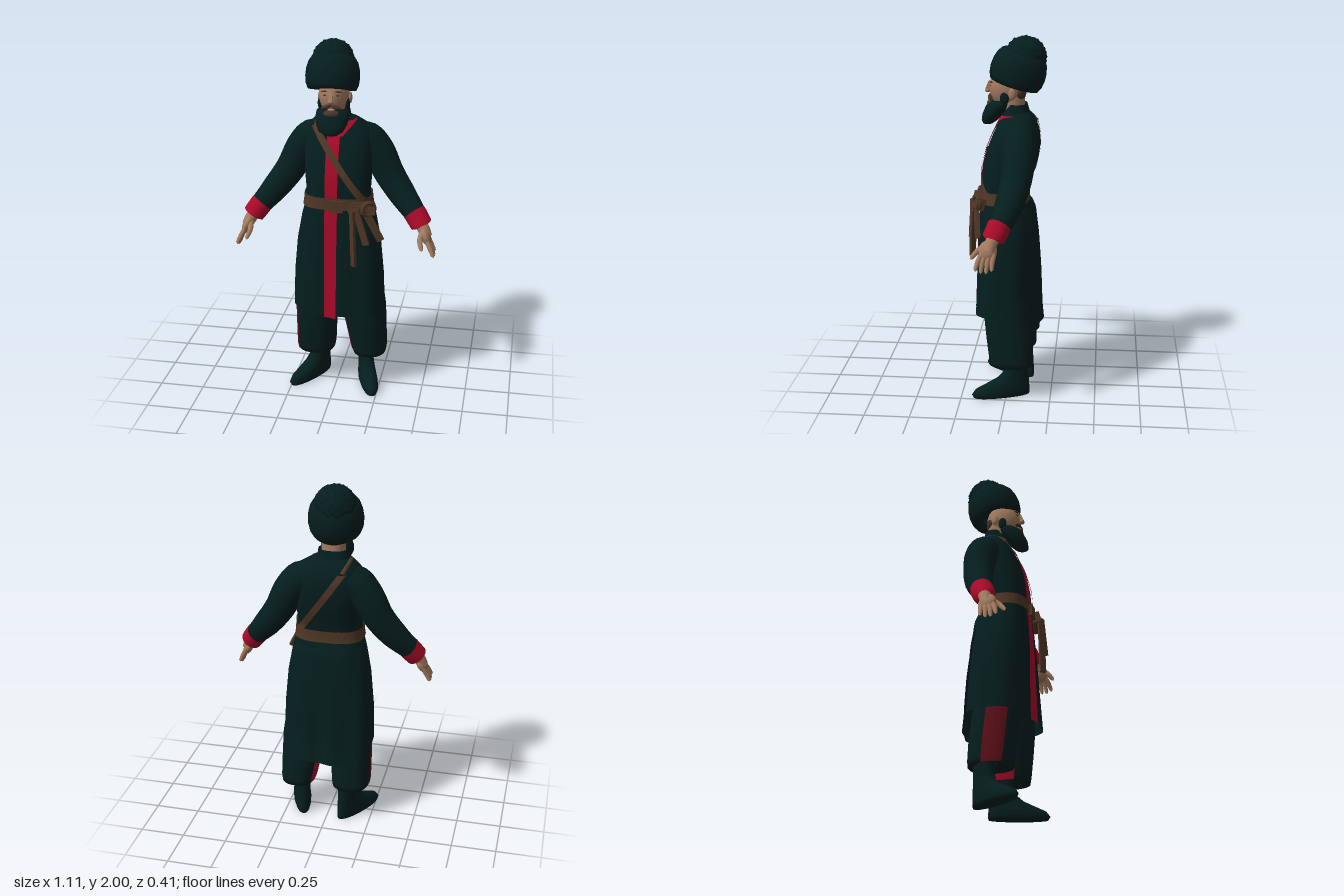
import * as THREE from 'three';
import { mergeVertices } from 'three/addons/utils/BufferGeometryUtils.js';

const paint = (name, color) => {
  const m = new THREE.MeshStandardMaterial({ color, side: THREE.DoubleSide });
  m.name = name;
  return m;
};

// Smooth surface over a grid of points, welded at seams
function grid(nu, nv, fn) {
  const pos = [], idx = [];
  for (let i = 0; i <= nv; i++) for (let j = 0; j <= nu; j++) pos.push(...fn(j / nu, i / nv, i));
  for (let i = 0; i < nv; i++) for (let j = 0; j < nu; j++) {
    const a = i * (nu + 1) + j, b = a + 1, d = a + nu + 1, c = d + 1;
    idx.push(a, b, c, a, c, d);
  }
  let g = new THREE.BufferGeometry();
  g.setAttribute('position', new THREE.Float32BufferAttribute(pos, 3));
  g.setIndex(idx);
  g = mergeVertices(g, 1e-5);
  g.computeVertexNormals();
  return g;
}

// Loft of superellipse rings; row = [y, centreX, halfWidth, zFront, zBack]
const noWarp = () => 0;
function loft(rows, { e = 2.2, off = 0, a0 = -Math.PI, a1 = Math.PI, n = 48, warp = noWarp } = {}) {
  const pw = v => Math.sign(v) * Math.abs(v) ** (2 / e);
  return grid(n, rows.length - 1, (u, v, i) => {
    const [y, cx, hw, zf, zb] = rows[i], a = a0 + (a1 - a0) * u;
    const x = cx + (hw + off) * pw(Math.sin(a));
    return [x, y, (zf + zb) / 2 + ((zf - zb) / 2 + off) * pw(Math.cos(a)) + warp(x, y)];
  });
}

// Tapered round limb through points [x, y, z, radius]
function limb(pts, seg = 24, sides = 16) {
  const curve = new THREE.CatmullRomCurve3(pts.map(p => new THREE.Vector3(p[0], p[1], p[2])));
  const g = new THREE.TubeGeometry(curve, seg, 1, sides), pos = g.attributes.position, v = new THREE.Vector3();
  for (let i = 0; i <= seg; i++) {
    const c = curve.getPointAt(i / seg), t = curve.getUtoTmapping(i / seg) * (pts.length - 1);
    const k = Math.min(Math.floor(t), pts.length - 2);
    const r = THREE.MathUtils.lerp(pts[k][3], pts[k + 1][3], t - k);
    for (let j = 0; j <= sides; j++) {
      const q = i * (sides + 1) + j;
      v.fromBufferAttribute(pos, q).sub(c).multiplyScalar(r).add(c);
      pos.setXYZ(q, v.x, v.y, v.z);
    }
  }
  return g;
}

// Coat cross-sections, hem to neck
const COAT = [
  [0.39, 0.012, 0.262, 0.175, -0.175], [0.49, 0.012, 0.26, 0.172, -0.165], [0.7, 0.01, 0.252, 0.166, -0.16],
  [0.9, 0.01, 0.232, 0.162, -0.15], [1.05, 0.01, 0.203, 0.153, -0.135], [1.13, 0.01, 0.18, 0.145, -0.102],
  [1.2, 0.01, 0.175, 0.145, -0.105], [1.3, 0.005, 0.183, 0.137, -0.145], [1.4, 0.005, 0.188, 0.114, -0.165],
  [1.48, 0.005, 0.185, 0.082, -0.165], [1.54, 0, 0.172, 0.052, -0.15], [1.58, -0.012, 0.118, 0.035, -0.125],
  [1.6, -0.02, 0.075, 0.02, -0.105]];
const COAT_E = 2.7;
const folds = (x, y) => THREE.MathUtils.clamp((1.05 - y) / 0.5, 0, 1) * (0.007 * Math.sin(38 * x) + 0.08 * x);

// Strap lying on the coat between two heights; side is 1 for front, -1 for back
function patch(side, y0, y1, x0, x1, width, off) {
  return grid(12, 40, (u, v) => {
    const y = y0 + (y1 - y0) * v, x = x0 + (x1 - x0) * v + (u - 0.5) * width * side;
    let k = 0;
    while (k < COAT.length - 2 && COAT[k + 1][0] < y) k++;
    const A = COAT[k], B = COAT[k + 1], t = (y - A[0]) / (B[0] - A[0]);
    const [, cx, hw, zf, zb] = A.map((a, i) => a + (B[i] - a) * t);
    const s = Math.min(1, Math.abs(x - cx) / hw), d = (1 - s ** COAT_E) ** (1 / COAT_E);
    return [x, y, (zf + zb) / 2 + side * ((zf - zb) / 2 * d + off) + folds(x, y)];
  });
}

export function createModel() {
  const root = new THREE.Group();
  const green = paint('dark green cloth', 0x051e1e), red = paint('crimson cloth', 0xa80a28),
    maroon = paint('maroon stripe', 0x5e1019), brown = paint('brown leather', 0x503726),
    skin = paint('skin', 0xa37b60), hair = paint('brown hair', 0x46342a);
  const add = (name, geo, mat) => {
    const m = new THREE.Mesh(geo, mat);
    m.name = name;
    root.add(m);
    return m;
  };
  const ball = (name, mat, [x, y, z], [sx, sy, sz], rx = 0, rz = 0) => {
    const m = add(name, new THREE.SphereGeometry(1, 24, 16), mat);
    m.position.set(x, y, z);
    m.scale.set(sx, sy, sz);
    m.rotation.set(rx, 0, rz);
  };
  const plank = (name, mat, a, b, w, d) => {
    const A = new THREE.Vector3(...a), B = new THREE.Vector3(...b);
    const m = add(name, new THREE.BoxGeometry(w, A.distanceTo(B), d), mat);
    m.position.copy(A).add(B).multiplyScalar(0.5);
    m.quaternion.setFromUnitVectors(new THREE.Vector3(0, 1, 0), B.sub(A).normalize());
  };

  // Coat, long back panel, collar and crimson facing
  add('coat', loft(COAT.slice(1), { e: COAT_E, n: 96, warp: folds }), green);
  add('backPanel', patch(-1, 0.39, 1.09, 0, 0, 0.36, 0.014), green);
  add('collar', loft([[1.55, -0.02, 0.1, 0.045, -0.125], [1.6, -0.02, 0.086, 0.03, -0.11],
    [1.64, -0.02, 0.078, 0.01, -0.098]]), green);
  add('frontFacing', patch(1, 0.475, 1.53, -0.015, -0.01, 0.07, 0.006), red);
  add('lapelFacing', patch(1, 1.51, 1.585, 0.02, 0.085, 0.04, 0.01), red);

  // Belt, buckle and shoulder strap
  add('belt', loft([[1.115, 0.01, 0.184, 0.147, -0.107], [1.14, 0.01, 0.18, 0.146, -0.104],
    [1.182, 0.01, 0.176, 0.146, -0.106]], { e: COAT_E, off: 0.01, warp: noWarp }), brown);
  plank('buckle', brown, [0.02, 1.105, 0.158], [0.02, 1.172, 0.158], 0.07, 0.02);
  add('frontStrap', patch(1, 1.18, 1.55, 0.15, -0.115, 0.044, 0.009), brown);
  add('backStrap', patch(-1, 1.17, 1.53, 0.16, -0.09, 0.044, 0.008), brown);
  add('shoulderStrap', limb([[-0.108, 1.54, 0.045, 0.015], [-0.113, 1.572, -0.02, 0.016],
    [-0.11, 1.57, -0.09, 0.016], [-0.09, 1.53, -0.147, 0.013]]), brown);

  // Pouch, loop and hanging straps at the left hip
  plank('pouch', brown, [0.09, 1.14, 0.165], [0.225, 1.13, 0.13], 0.065, 0.045);
  plank('hangingStrap', brown, [0.11, 1.13, 0.185], [0.122, 0.81, 0.19], 0.034, 0.016);
  plank('hangingStrap', brown, [0.13, 1.14, 0.185], [0.19, 0.94, 0.19], 0.036, 0.016);
  plank('hangingStrap', brown, [0.16, 1.16, 0.165], [0.262, 0.955, 0.145], 0.042, 0.02);
  const loop = add('strapLoop', new THREE.TorusGeometry(0.034, 0.013, 10, 24), brown);
  loop.position.set(0.195, 1.135, 0.155);
  loop.rotation.y = 0.6;

  // Sleeves, cuffs and hands
  for (const s of [-1, 1]) {
    const side = s > 0 ? 'left' : 'right';
    const arm = (name, pts, mat, seg, sides) =>
      add(side + name, limb(pts.map(([x, y, z, r]) => [s * x, y, z, r]), seg, sides), mat);
    arm('Sleeve', [[0.1, 1.48, -0.06, 0.078], [0.155, 1.462, -0.065, 0.092], [0.215, 1.39, -0.07, 0.09],
      [0.275, 1.275, -0.06, 0.083], [0.355, 1.165, -0.03, 0.075], [0.445, 1.06, 0.02, 0.058]], green, 32, 24);
    arm('Cuff', [[0.42, 1.09, 0.008, 0.05], [0.428, 1.08, 0.012, 0.063], [0.45, 1.05, 0.025, 0.062],
      [0.472, 1.02, 0.04, 0.06], [0.477, 1.012, 0.043, 0.035]], red, 20, 20);
    arm('Wrist', [[0.45, 1.05, 0.025, 0.034], [0.485, 1.0, 0.05, 0.034], [0.505, 0.96, 0.06, 0.03]], skin, 8);
    ball(side + 'Palm', skin, [s * 0.499, 0.965, 0.066], [0.027, 0.054, 0.048], -0.25, s * 0.4);
    for (let i = 0; i < 4; i++) {
      const z = 0.032 + 0.021 * i, drop = [0.014, 0, 0, 0.012][i];
      arm('Finger', [[0.506, 0.955, z, 0.014], [0.53, 0.91, z + 0.008 + 0.004 * i, 0.0135],
        [0.546, 0.862 + drop, z + 0.01 + 0.007 * i, 0.01], [0.548, 0.853 + drop, z + 0.011 + 0.007 * i, 0]], skin, 10, 8);
    }
    arm('Thumb', [[0.48, 0.985, 0.075, 0.018], [0.473, 0.955, 0.12, 0.015],
      [0.485, 0.918, 0.152, 0.011], [0.487, 0.908, 0.157, 0]], skin, 10, 8);
  }

  // Baggy trousers, each with one side stripe, and boots with toes turned out
  const legs = [
    { side: 'right', stripe: maroon, from: -0.12, to: 0.7, x: -0.11, z: -0.08, yaw: -0.55,
      rows: [[0.2, -0.125, 0.104, 0.088, -0.15], [0.23, -0.125, 0.109, 0.094, -0.152], [0.35, -0.122, 0.112, 0.11, -0.147],
        [0.49, -0.12, 0.113, 0.125, -0.13], [0.7, -0.11, 0.115, 0.12, -0.11]] },
    { side: 'left', stripe: red, from: -0.6, to: 0.42, x: 0.155, z: -0.065, yaw: 0.31,
      rows: [[0.2, 0.185, 0.094, 0.088, -0.15], [0.23, 0.183, 0.1, 0.094, -0.152], [0.35, 0.17, 0.11, 0.11, -0.147],
        [0.49, 0.155, 0.122, 0.125, -0.13], [0.7, 0.13, 0.118, 0.12, -0.11]] }];
  for (const { side, stripe, from, to, x, z, yaw, rows } of legs) {
    const hem = [0.225, rows[0][1], 0.04, 0, -0.09];
    add(side + 'TrouserLeg', loft([hem, ...rows], { e: 2.4 }), green);
    add(side + 'TrouserStripe', loft(rows,
      { e: 2.4, off: 0.004, a0: -Math.PI / 2 + from, a1: -Math.PI / 2 + to, n: 12 }), stripe);
    const boot = add(side + 'Boot', loft([[0, 0, 0, 0.05, 0.04], [0, 0, 0.044, 0.255, -0.065], [0.018, 0, 0.05, 0.265, -0.068],
      [0.045, 0, 0.051, 0.245, -0.066], [0.07, 0, 0.048, 0.19, -0.064], [0.1, 0, 0.045, 0.125, -0.062],
      [0.13, 0, 0.043, 0.09, -0.058], [0.17, 0, 0.044, 0.075, -0.056], [0.25, 0, 0.048, 0.075, -0.06]]), green);
    boot.position.set(x, 0, z);
    boot.rotation.y = yaw;
  }

  // Head, face and beard
  const hx = -0.018;
  add('neck', loft([[1.55, hx, 0.062, 0.03, -0.09], [1.7, hx, 0.066, 0.04, -0.082]]), skin);
  ball('napeHair', hair, [hx, 1.7, -0.055], [0.066, 0.05, 0.038]);
  ball('head', skin, [hx, 1.725, 0.008], [0.081, 0.115, 0.1]);
  plank('nose', skin, [hx, 1.755, 0.101], [hx, 1.71, 0.119], 0.02, 0.022);
  ball('noseTip', skin, [hx, 1.707, 0.117], [0.017, 0.012, 0.015]);
  add('beard', loft([[1.522, hx, 0, 0.12, 0.11], [1.527, hx, 0.035, 0.142, 0.09], [1.545, hx, 0.065, 0.15, 0.065],
    [1.58, hx, 0.084, 0.145, 0.03], [1.62, hx, 0.09, 0.128, 0], [1.645, hx, 0.086, 0.11, -0.01],
    [1.66, hx, 0.07, 0.09, 0]]), green);
  ball('chinHair', hair, [hx, 1.636, 0.1], [0.045, 0.024, 0.022], -0.4);
  ball('lowerLip', skin, [hx, 1.66, 0.102], [0.02, 0.006, 0.012]);
  for (const s of [-1, 1]) {
    ball('sideburn', green, [hx + s * 0.073, 1.675, 0.02], [0.014, 0.036, 0.024]);
    ball('moustache', hair, [hx + s * 0.025, 1.676, 0.1], [0.03, 0.01, 0.014], 0, -s * 0.35);
    ball('eyebrow', hair, [hx + s * 0.036, 1.757, 0.093], [0.02, 0.004, 0.008], 0, -s * 0.1);
    ball('eye', hair, [hx + s * 0.034, 1.738, 0.097], [0.011, 0.004, 0.004]);
    ball('ear', skin, [hx + s * 0.081, 1.7, -0.022], [0.012, 0.032, 0.02]);
  }

  // Fur hat: rolled brim tilted back and a curly crown
  const brimProfile = [[0.08, -0.05], [0.108, -0.07], [0.13, -0.068], [0.142, -0.04], [0.147, 0], [0.144, 0.04],
    [0.133, 0.08], [0.115, 0.108], [0.09, 0.12], [0, 0.12]].map(p => new THREE.Vector2(...p));
  const brim = add('hatBrim', new THREE.LatheGeometry(brimProfile, 48), green);
  brim.position.set(-0.036, 1.802, -0.045);
  brim.rotation.x = -0.3;
  brim.scale.z = 1.04;
  const crown = add('hatCrown', new THREE.SphereGeometry(0.113, 64, 40), green);
  const p = crown.geometry.attributes.position, v = new THREE.Vector3();
  for (let i = 0; i < p.count; i++) {
    v.fromBufferAttribute(p, i);
    const curl = Math.sin(v.x * 150) * Math.sin(v.y * 140 + 1) * Math.sin(v.z * 150 + 2);
    v.multiplyScalar(1 + 0.06 * curl);
    p.setXYZ(i, v.x, v.y, v.z);
  }
  crown.geometry.computeVertexNormals();
  crown.position.set(-0.04, 1.884, -0.085);
  return root;
}
